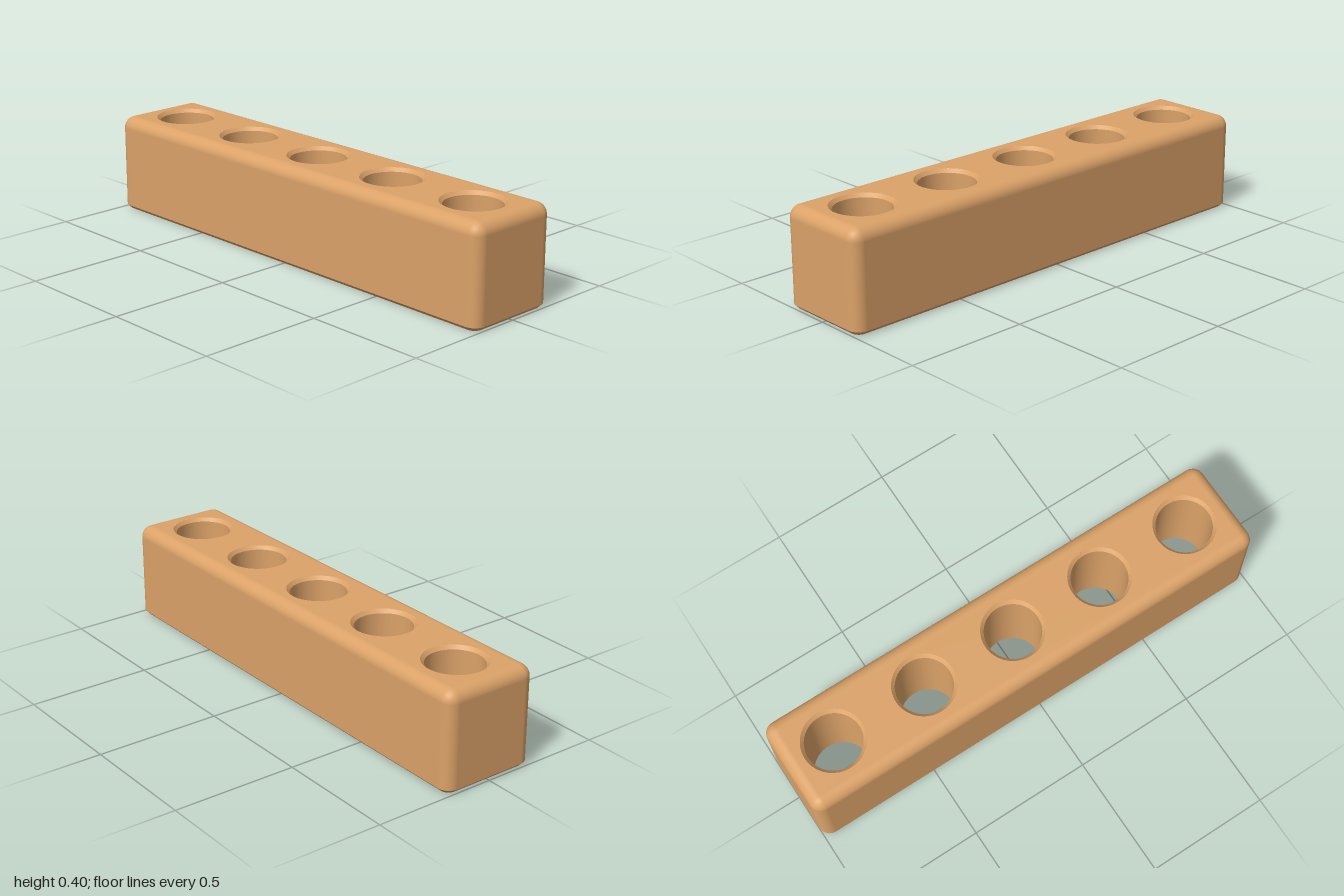
import * as THREE from 'three';
import { mergeGeometries } from 'three/addons/utils/BufferGeometryUtils.js';

const HALF_X = 1, HALF_Z = 0.2, HEIGHT = 0.4;
const FILLET = 0.048, CHAMFER = 0.016;
const HOLE_R = 0.112, HOLE_RIM = 0.125, HOLE_BEVEL = 0.014;
const HOLES = [-0.8, -0.4, 0, 0.4, 0.8];
const CORNER_STEPS = 10, HOLE_STEPS = 64;

// Rounded rectangle outline as points {x, z, nx, nz}, shrunk by inset
function outline(inset) {
  const pts = [], r = FILLET - inset;
  const signs = [[1, 1], [-1, 1], [-1, -1], [1, -1]];
  signs.forEach(([sx, sz], q) => {
    for (let i = 0; i <= CORNER_STEPS; i++) {
      const a = (q + i / CORNER_STEPS) * Math.PI / 2;
      const nx = Math.cos(a), nz = Math.sin(a);
      pts.push({ x: sx * (HALF_X - FILLET) + r * nx, z: sz * (HALF_Z - FILLET) + r * nz, nx, nz });
    }
  });
  return pts;
}

// Skin through outlines; each row is { inset, y, out, up } with its own normal
function skin(rows) {
  const pos = [], nor = [], idx = [];
  const n = 4 * (CORNER_STEPS + 1);
  rows.forEach(({ inset, y, out, up }) => {
    for (const p of outline(inset)) {
      pos.push(p.x, y, p.z);
      nor.push(p.nx * out, up, p.nz * out);
    }
  });
  for (let j = 0; j < rows.length - 1; j++) {
    for (let i = 0; i < n; i++) {
      const a = j * n + i, b = j * n + (i + 1) % n;
      idx.push(b, a, a + n, b, a + n, b + n);
    }
  }
  const g = new THREE.BufferGeometry();
  g.setAttribute('position', new THREE.Float32BufferAttribute(pos, 3));
  g.setAttribute('normal', new THREE.Float32BufferAttribute(nor, 3));
  g.setIndex(idx);
  return g;
}

// Flat face with a round opening for every hole
function face(inset, y, up) {
  const shape = new THREE.Shape(outline(inset).map(p => new THREE.Vector2(p.x, p.z))
    .filter((p, i, all) => i === 0 || p.distanceTo(all[i - 1]) > 1e-5));
  for (const x of HOLES) {
    shape.holes.push(new THREE.Path().absarc(x, 0, HOLE_RIM, 0, Math.PI * 2, true));
  }
  return new THREE.ShapeGeometry(shape, HOLE_STEPS).rotateX(up ? -Math.PI / 2 : Math.PI / 2).translate(0, y, 0);
}

// Straight bore with a bevelled rim at both ends, facing inwards
function bore() {
  const profile = [[HOLE_RIM, HEIGHT], [HOLE_R, HEIGHT - HOLE_BEVEL], [HOLE_R, HOLE_BEVEL], [HOLE_RIM, 0]]
    .map(([r, y]) => new THREE.Vector2(r, y));
  return mergeGeometries([0, 1, 2].map(i => new THREE.LatheGeometry(profile.slice(i, i + 2), HOLE_STEPS)));
}

export function createModel() {
  const model = new THREE.Group();
  model.name = 'holderBlock';
  const wood = new THREE.MeshStandardMaterial({ color: 0xdba268 });
  wood.name = 'warmWood';
  const add = (name, geometry) => {
    const mesh = new THREE.Mesh(geometry, wood);
    mesh.name = name;
    model.add(mesh);
    return mesh;
  };

  // Side walls running into the rounded top edge
  const rows = [{ inset: 0, y: CHAMFER, out: 1, up: 0 }];
  for (let i = 0; i <= 10; i++) {
    const a = i / 10 * Math.PI / 2, c = Math.cos(a), s = Math.sin(a);
    rows.push({ inset: FILLET * (1 - c), y: HEIGHT - FILLET * (1 - s), out: c, up: s });
  }
  add('sideWalls', skin(rows));

  // Bevel around the foot
  const d = Math.SQRT1_2;
  add('footBevel', skin([
    { inset: CHAMFER, y: 0, out: d, up: -d },
    { inset: 0, y: CHAMFER, out: d, up: -d },
  ]));

  add('topFace', face(FILLET, HEIGHT, true));
  add('bottomFace', face(CHAMFER, 0, false));

  // Row of through holes
  const hole = bore();
  HOLES.forEach((x, i) => { add('hole' + (i + 1), hole).position.x = x; });
  return model;
}
